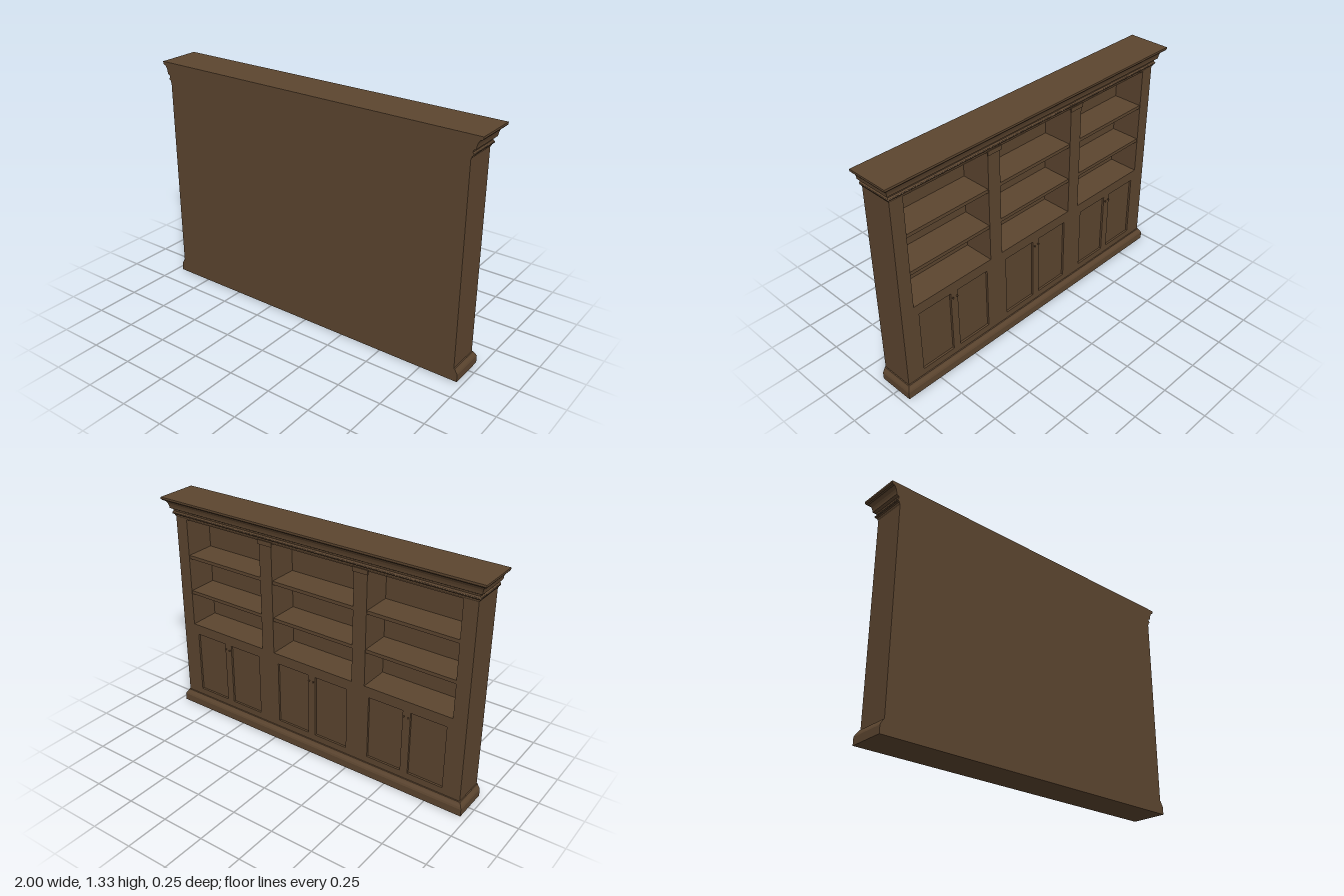
import * as THREE from 'three';
import { mergeGeometries } from 'three/addons/utils/BufferGeometryUtils.js';

const HALF_W = 0.945, BACK = 0.123, FRONT = -0.068;   // case body, doors face -z
const BASE_Y = 0.075, BAY_Y = 0.553, TOP_Y = 1.212;
const FRAME_T = 0.012;
const BAY_W = 0.524, BAY_STEP = 0.605;
const BAYS = [-BAY_STEP, 0, BAY_STEP];

// Moulding wrapping the front and both ends; profile = [overhang, y] from bottom to top
function moulding(profile) {
  const rings = profile.map(([o, y]) => [
    [-HALF_W - o, y, BACK], [HALF_W + o, y, BACK],
    [HALF_W + o, y, FRONT - o], [-HALF_W - o, y, FRONT - o],
  ]);
  const pos = [];
  const quad = (a, b, c, d) => pos.push(...a, ...b, ...c, ...a, ...c, ...d);
  for (let r = 0; r < rings.length - 1; r++) {
    for (let i = 0; i < 4; i++) {
      const j = (i + 1) % 4;
      quad(rings[r][i], rings[r][j], rings[r + 1][j], rings[r + 1][i]);
    }
  }
  quad(...rings[rings.length - 1]);
  quad(...[...rings[0]].reverse());
  const g = new THREE.BufferGeometry();
  g.setAttribute('position', new THREE.Float32BufferAttribute(pos, 3));
  g.computeVertexNormals();
  return g;
}

function rect(path, x0, x1, y0, y1) {
  path.moveTo(x0, y0);
  path.lineTo(x1, y0);
  path.lineTo(x1, y1);
  path.lineTo(x0, y1);
  path.closePath();
  return path;
}

export function createModel() {
  const group = new THREE.Group();
  const wood = new THREE.MeshStandardMaterial({ color: 0x5c452f });
  wood.name = 'brown wood';

  const add = (name, geometry) => {
    const m = new THREE.Mesh(geometry, wood);
    m.name = name;
    group.add(m);
    return m;
  };
  const box = (name, x0, x1, y0, y1, z0, z1) =>
    add(name, new THREE.BoxGeometry(x1 - x0, y1 - y0, z1 - z0))
      .position.set((x0 + x1) / 2, (y0 + y1) / 2, (z0 + z1) / 2);

  // Plinth
  add('plinth', moulding([
    [0.021, 0], [0.021, 0.042], [0.017, 0.052], [0.008, 0.066], [0.005, 0.073], [0, BASE_Y],
  ]));

  // Crown with bead, cove and lid
  add('crown', moulding([
    [0, TOP_Y], [0.004, 1.218], [0.005, 1.225], [0.012, 1.229], [0.014, 1.235], [0.012, 1.241],
    [0.008, 1.246], [0.01, 1.256], [0.023, 1.263], [0.025, 1.278], [0.029, 1.292],
    [0.036, 1.304], [0.041, 1.31], [0.05, 1.312], [0.055, 1.319], [0.055, 1.33],
  ]));

  // Row of small beads under the cove
  const bead = new THREE.SphereGeometry(0.0055, 6, 4);
  const beads = [];
  const beadZ = FRONT - 0.011, beadX = HALF_W + 0.011;
  for (let i = 0; i <= 120; i++) {
    beads.push(bead.clone().translate(-beadX + (2 * beadX * i) / 120, 1.235, beadZ));
  }
  for (const s of [-1, 1]) {
    for (let i = 1; i <= 12; i++) beads.push(bead.clone().translate(s * beadX, 1.235, beadZ + i * 0.0159));
  }
  add('crownBeads', mergeGeometries(beads));

  // Face frame with openings for the bays and recessed door panels
  const face = rect(new THREE.Shape(), -HALF_W, HALF_W, BASE_Y, TOP_Y);
  for (const c of BAYS) {
    face.holes.push(rect(new THREE.Path(), c - BAY_W / 2, c + BAY_W / 2, BAY_Y, TOP_Y - 0.004));
    for (const s of [-1, 1]) {
      const a = c + s * 0.023, b = c + s * 0.233;
      face.holes.push(rect(new THREE.Path(), Math.min(a, b), Math.max(a, b), 0.114, 0.492));
    }
  }
  add('faceFrame', new THREE.ExtrudeGeometry(face, { depth: FRAME_T, bevelEnabled: false }))
    .position.z = FRONT;

  // Carcass
  const inner = FRONT + FRAME_T, backFace = BACK - 0.011;
  box('backPanel', -HALF_W, HALF_W, BASE_Y, TOP_Y, backFace, BACK);
  box('lowerCabinet', -HALF_W, HALF_W, BASE_Y, BAY_Y, inner, backFace);
  const edge = BAY_STEP + BAY_W / 2, mid = BAY_W / 2, midOut = BAY_STEP - BAY_W / 2;
  for (const s of [-1, 1]) {
    const span = (name, a, b) =>
      box(name, Math.min(s * a, s * b), Math.max(s * a, s * b), BAY_Y, TOP_Y, inner, backFace);
    span('sidePanel', edge, HALF_W);
    span('divider', mid, midOut);
    // Small capital at the head of each divider
    const c = (s * (mid + midOut)) / 2;
    box('capital', c - 0.046, c + 0.046, 1.19, 1.215, FRONT - 0.007, FRONT);
  }

  for (const c of BAYS) {
    // Shelves
    for (const y of [0.77, 0.992]) {
      box('shelf', c - BAY_W / 2, c + BAY_W / 2, y - 0.02, y, FRONT + 0.004, backFace);
    }
    // Door knobs
    for (const s of [-1, 1]) {
      const knob = new THREE.CylinderGeometry(0.006, 0.003, 0.009, 12);
      knob.rotateX(-Math.PI / 2);
      add('doorKnob', knob).position.set(c + s * 0.014, 0.462, FRONT - 0.0045);
    }
  }
  return group;
}
